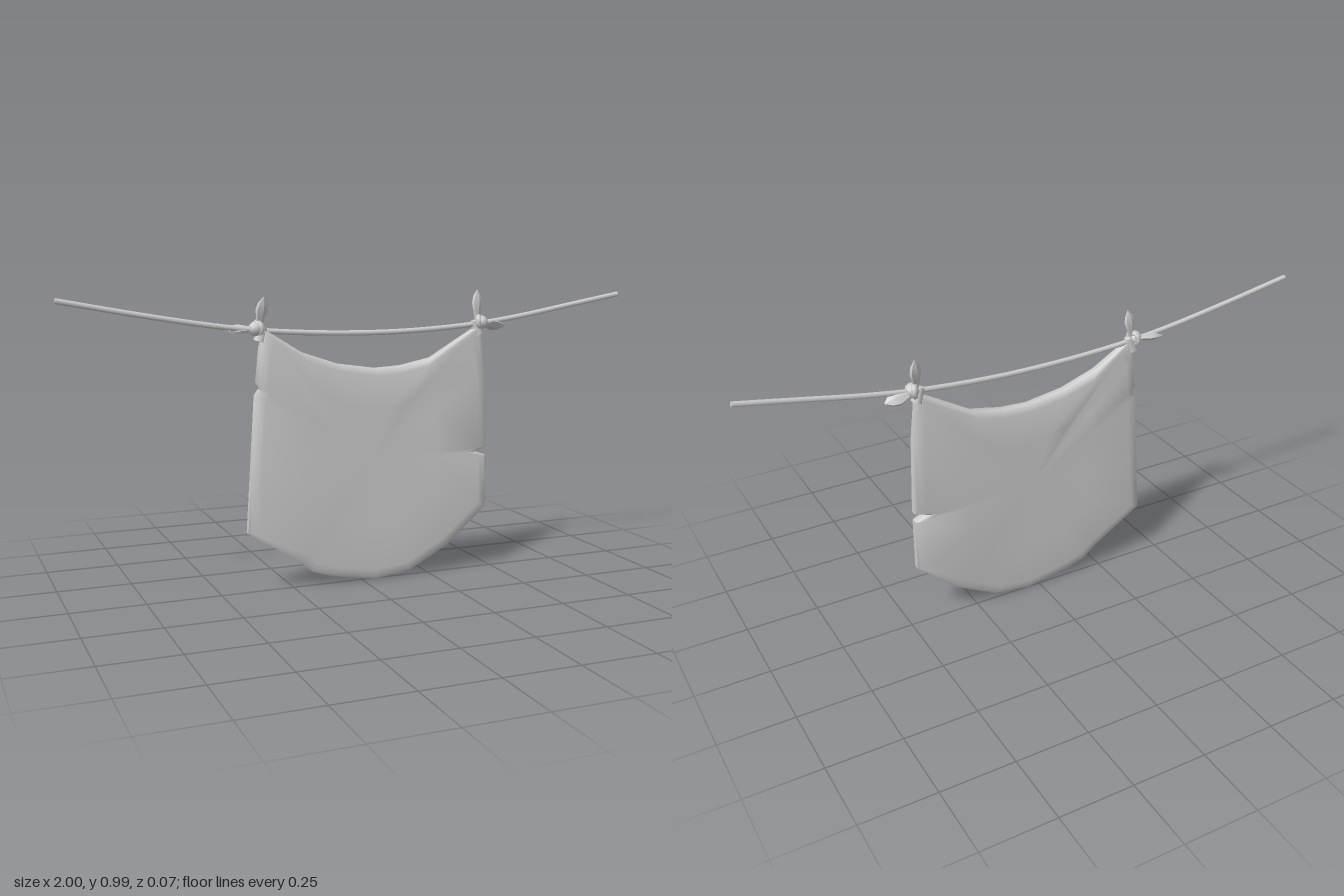
import * as THREE from 'three';
import { toCreasedNormals } from 'three/addons/utils/BufferGeometryUtils.js';

const V = (x, y, z) => new THREE.Vector3(x, y, z);

// linear lookup in a list of [position, value] pairs
function lookup(table, p) {
  for (let i = 1; i < table.length; i++) {
    const [a, va] = table[i - 1], [b, vb] = table[i];
    if (p <= b) return va + (vb - va) * Math.max(0, (p - a) / (b - a));
  }
  return table[table.length - 1][1];
}

// Hanging cloth: rings of its outline shrunk towards the middle, padded in depth
function clothGeometry() {
  const outline = [
    [-0.345, 0.88], [-0.361, 0.82], [-0.374, 0.705], [-0.364, 0.685], [-0.379, 0.665], [-0.395, 0.43],
    [-0.41, 0.208], [-0.227, 0.09], [-0.185, 0.053], [-0.115, 0.03], [0.045, 0.003],
    [0.174, 0.02], [0.323, 0.1], [0.468, 0.228], [0.468, 0.412], [0.425, 0.428],
    [0.468, 0.443], [0.457, 0.71], [0.438, 0.875], [0.25, 0.765], [0.14, 0.743],
    [0.045, 0.738], [-0.09, 0.758], [-0.22, 0.802],
  ];
  const depth = [[0, 0.016], [0.15, 0.021], [0.28, 0.026], [0.42, 0.021], [0.7, 0.022], [0.82, 0.025], [0.89, 0.016]];
  const cx = 0.035, cy = 0.428, cz = 0.005;
  const rings = [[0.55, 1], [0.92, 1], [0.975, 0.8], [1, 0.45], [1, -0.45], [0.975, -0.8], [0.92, -1], [0.55, -1]];
  const n = outline.length, pos = [], index = [];
  for (const [s, d] of rings) {
    for (const [x, y] of outline) {
      pos.push(cx + (x - cx) * s, cy + (y - cy) * s, cz + d * lookup(depth, y));
    }
  }
  const front = pos.length / 3, back = front + 1;
  pos.push(cx, cy, cz + 0.021, cx, cy, cz - 0.021);
  for (let j = 0; j < n; j++) {
    const k = (j + 1) % n, last = (rings.length - 1) * n;
    index.push(front, j, k, back, last + k, last + j);
    for (let r = 0; r < rings.length - 1; r++) {
      const a = r * n + j, b = r * n + k;
      index.push(a, a + n, b, b, a + n, b + n);
    }
  }
  const g = new THREE.BufferGeometry();
  g.setAttribute('position', new THREE.Float32BufferAttribute(pos, 3));
  g.setIndex(index);
  return toCreasedNormals(g, 0.8);
}

// Pointed cloth tail growing from the knot to a tip
function tail(name, from, to, width, twist, material) {
  const len = from.distanceTo(to);
  const profile = [[0, 0], [0.4, 0.02], [0.7, 0.3], [1, 0.55], [0.75, 0.78], [0, 1]]
    .map(([r, t]) => new THREE.Vector2(r * width, t * len));
  const g = toCreasedNormals(new THREE.LatheGeometry(profile, 6), 0.7);
  g.scale(1, 1, 0.45);
  g.rotateY(twist);
  const m = new THREE.Mesh(g, material);
  m.name = name;
  m.position.copy(from);
  m.quaternion.setFromUnitVectors(V(0, 1, 0), to.clone().sub(from).normalize());
  return m;
}

// Knot: a wrap around the rope, a central lump and two tails
function knot(name, centre, upTip, sideTip, material) {
  const group = new THREE.Group();
  group.name = name;
  const side = Math.sign(sideTip.x - centre.x);
  const wrap = new THREE.Mesh(new THREE.TorusGeometry(0.019, 0.011, 6, 10), material);
  wrap.name = 'knotWrap';
  wrap.position.copy(centre);
  wrap.rotation.set(0, Math.PI / 2 - side * 0.5, 0);
  const lump = new THREE.Mesh(new THREE.SphereGeometry(0.024, 8, 6), material);
  lump.name = 'knotLump';
  lump.scale.set(1, 1, 1.1);
  lump.position.copy(centre).add(V(side * 0.008, 0, 0.004));
  // gathered corner joining the cloth to the knot
  const gather = new THREE.Mesh(new THREE.CylinderGeometry(0.014, 0.02, 0.05, 7), material);
  gather.name = 'gatheredCorner';
  gather.position.copy(centre).add(V(-side * 0.012, -0.018, 0.002));
  gather.rotation.z = side * 0.3;
  group.add(wrap, lump, gather,
    tail('upperTail', centre.clone().add(V(-side * 0.006, 0.005, 0)), upTip, 0.025, 0.4, material),
    tail('sideTail', centre.clone().add(V(side * 0.005, -0.002, 0)), sideTip, 0.027, 0.9, material));
  return group;
}

export function createModel() {
  const model = new THREE.Group();
  model.name = 'hangingCloth';
  const grey = new THREE.MeshStandardMaterial({ color: 0xcccccc });
  grey.name = 'paleGrey';

  const cloth = new THREE.Mesh(clothGeometry(), grey);
  cloth.name = 'cloth';

  // Sagging rope with closed ends
  const path = [[-1, 0.983], [-0.75, 0.935], [-0.5, 0.893], [-0.35, 0.875], [-0.1, 0.86], [0.15, 0.859],
    [0.42, 0.876], [0.6, 0.9], [0.8, 0.935], [1, 0.97]].map(([x, y]) => V(x, y, 0.004 + x * 0.005));
  const curve = new THREE.CatmullRomCurve3(path);
  const rope = new THREE.Mesh(new THREE.TubeGeometry(curve, 32, 0.009, 8), grey);
  rope.name = 'rope';
  model.add(cloth, rope);
  for (const t of [0, 1]) {
    const cap = new THREE.Mesh(new THREE.CircleGeometry(0.009, 8), grey);
    cap.name = 'ropeEnd';
    cap.position.copy(curve.getPoint(t));
    cap.quaternion.setFromUnitVectors(V(0, 0, 1), curve.getTangent(t).multiplyScalar(t ? 1 : -1));
    model.add(cap);
  }

  model.add(
    knot('rightKnot', V(-0.365, 0.882, 0.002), V(-0.345, 0.985, 0.012), V(-0.472, 0.88, -0.022), grey),
    knot('leftKnot', V(0.438, 0.882, 0.002), V(0.441, 0.995, -0.016), V(0.545, 0.864, -0.006), grey));
  return model;
}
